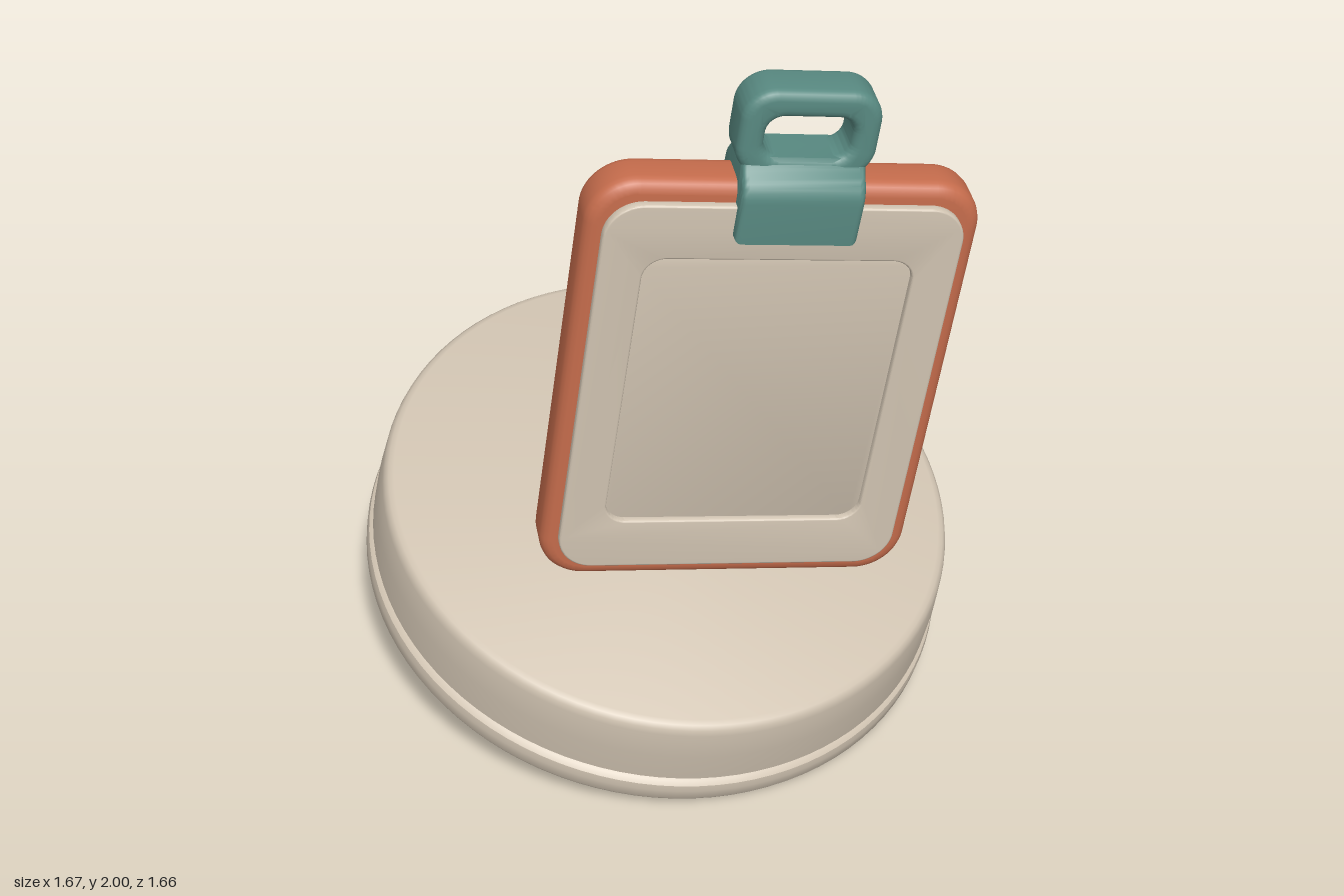
import * as THREE from 'three';
import { toCreasedNormals } from 'three/addons/utils/BufferGeometryUtils.js';

const mat = (name, color) => {
  const m = new THREE.MeshStandardMaterial({ color });
  m.name = name;
  return m;
};

// Rounded rectangle outline centred on (0, cy)
function roundRect(target, w, h, r, cy = 0) {
  const x = w / 2 - r, y = h / 2 - r;
  target.absarc(x, cy + y, r, 0, Math.PI / 2);
  target.absarc(-x, cy + y, r, Math.PI / 2, Math.PI);
  target.absarc(-x, cy - y, r, Math.PI, Math.PI * 1.5);
  target.absarc(x, cy - y, r, Math.PI * 1.5, Math.PI * 2);
  target.closePath();
  return target;
}

// Extrusion with softened edges, its full thickness centred on z = 0
function softExtrude(shape, thickness, bevel) {
  const g = new THREE.ExtrudeGeometry(shape, {
    depth: thickness - 2 * bevel, bevelEnabled: true, bevelThickness: bevel,
    bevelSize: bevel, bevelOffset: -bevel, bevelSegments: 4, curveSegments: 10,
  });
  g.translate(0, 0, -(thickness - 2 * bevel) / 2);
  return toCreasedNormals(g, 0.6);
}

export function createModel() {
  const cream = mat('cream', 0xd0c3b1);
  const orange = mat('terracotta', 0xc56c4c);
  const teal = mat('teal', 0x588981);

  const model = new THREE.Group();
  const add = (parent, name, geometry, material, x = 0, y = 0, z = 0) => {
    const m = new THREE.Mesh(geometry, material);
    m.name = name;
    m.position.set(x, y, z);
    parent.add(m);
    return m;
  };

  // Everything sits in one frame that tips forward
  const tilted = new THREE.Group();
  tilted.name = 'tiltedStand';
  tilted.position.set(0, 0.217, -0.02);
  tilted.rotation.x = THREE.MathUtils.degToRad(15);
  model.add(tilted);

  // Round base: rolled foot, groove, gently tapered drum
  const profile = [
    [0, 0], [0.815, 0], [0.829, 0.006], [0.836, 0.02], [0.837, 0.055],
    [0.833, 0.074], [0.822, 0.084], [0.813, 0.088], [0.813, 0.094], [0.824, 0.1],
    [0.822, 0.2], [0.814, 0.29], [0.809, 0.308], [0.799, 0.32], [0.785, 0.325], [0, 0.325],
  ].map(([r, y]) => new THREE.Vector2(r, y));
  add(tilted, 'base', toCreasedNormals(new THREE.LatheGeometry(profile, 96), 0.6), cream);

  // Tag: turned aside and leaning back, origin at the middle of its foot
  const W = 1.03, H = 1.29, T = 0.135;
  const tag = new THREE.Group();
  tag.name = 'tag';
  tag.position.set(-0.042, 0.318, 0.26);
  tag.rotation.set(THREE.MathUtils.degToRad(-12), THREE.MathUtils.degToRad(-30), 0, 'YXZ');
  tilted.add(tag);
  add(tag, 'tagBody', softExtrude(roundRect(new THREE.Shape(), W, H, 0.13), T, 0.035), orange, 0, H / 2, 0);

  // Raised front panel with a sunken window
  const frame = roundRect(new THREE.Shape(), W - 0.09, H - 0.11, 0.1);
  frame.holes.push(roundRect(new THREE.Path(), 0.71, 0.86, 0.06));
  add(tag, 'panelFrame', softExtrude(frame, 0.04, 0.006), cream, 0, H / 2, T / 2 + 0.002);
  add(tag, 'panelWindow', softExtrude(roundRect(new THREE.Shape(), 0.73, 0.88, 0.06), 0.008, 0.001),
    cream, 0, H / 2, T / 2);

  // Clip: a saddle over the top edge and a slotted loop above it
  const clip = new THREE.Group();
  clip.name = 'clip';
  clip.position.set(0.02, H, 0.004);
  tag.add(clip);

  const saddle = new THREE.Shape();
  saddle.moveTo(-0.11, -0.15);
  saddle.lineTo(0.11, -0.15);
  saddle.lineTo(0.115, -0.03);
  saddle.bezierCurveTo(0.115, 0.03, 0.07, 0.03, 0.055, 0.075);
  saddle.lineTo(-0.055, 0.075);
  saddle.bezierCurveTo(-0.07, 0.03, -0.115, 0.03, -0.115, -0.03);
  saddle.closePath();
  add(clip, 'clipSaddle', softExtrude(saddle, 0.32, 0.018), teal).rotation.y = Math.PI / 2;

  const loop = roundRect(new THREE.Shape(), 0.36, 0.25, 0.085, 0.14);
  loop.holes.push(roundRect(new THREE.Path(), 0.225, 0.115, 0.045, 0.132));
  add(clip, 'clipLoop', softExtrude(loop, 0.13, 0.025), teal);

  return model;
}
